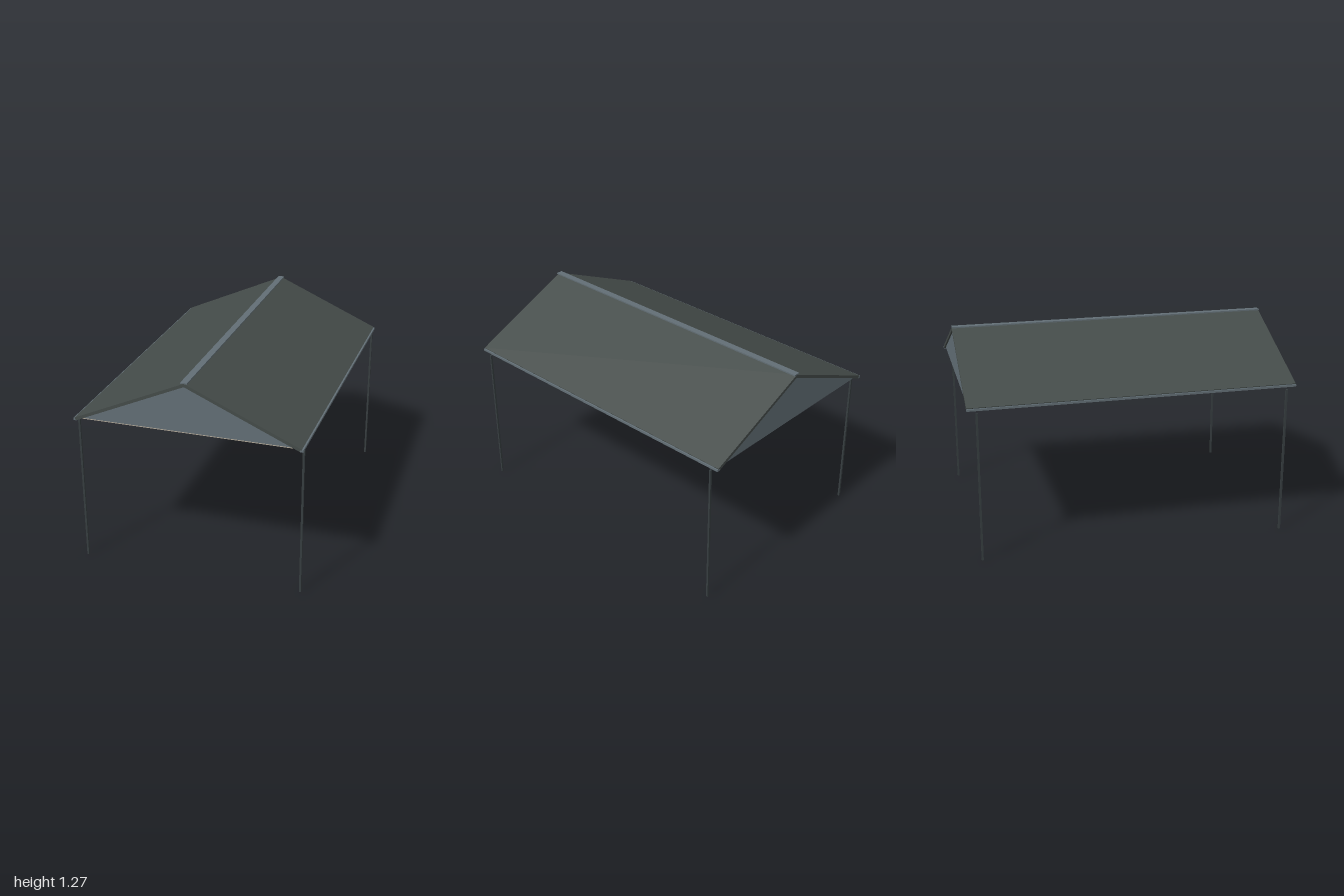
import * as THREE from 'three';

const material = (name, color) => new THREE.MeshStandardMaterial({ name, color });

export function createModel() {
  const roofMat = material('dark roof', 0x444b49);
  const trimMat = material('blue grey trim', 0x626e75);
  const ceilingMat = material('beige ceiling', 0xb0a898);
  const postMat = material('dark post', 0x363d3f);

  const group = new THREE.Group();
  group.name = 'gableCanopy';

  const add = (name, geometry, mat, x = 0, y = 0, z = 0) => {
    const mesh = new THREE.Mesh(geometry, mat);
    mesh.name = name;
    mesh.position.set(x, y, z);
    group.add(mesh);
  };
  const box = (name, w, h, d, mat, x, y, z) =>
    add(name, new THREE.BoxGeometry(w, h, d), mat, x, y, z);
  // Outline in x and y, extruded along z and centred on z = 0
  const prism = (points, depth) => {
    const shape = new THREE.Shape(points.map(([x, y]) => new THREE.Vector2(x, y)));
    const g = new THREE.ExtrudeGeometry(shape, { depth, bevelEnabled: false });
    return g.translate(0, 0, -depth / 2);
  };

  // Pitched roof slabs, ridge cap
  add('roof', prism([
    [0, 1.262], [-0.68, 0.96], [-0.672, 0.943], [0, 1.242], [0.672, 0.943], [0.68, 0.96],
  ], 2), roofMat);
  box('ridgeCap', 0.04, 0.008, 2, trimMat, 0, 1.263, 0);

  // Flat ceiling
  box('ceiling', 1.28, 0.008, 1.95, ceilingMat, 0, 0.951, 0);

  // Triangular gable ends
  for (const z of [-1, 1]) {
    add(z > 0 ? 'frontGable' : 'backGable',
      prism([[-0.635, 0.96], [0.635, 0.96], [0, 1.243]], 0.016), trimMat, 0, 0, z * 0.982);
  }

  // Eave gutters and corner posts
  for (const x of [-1, 1]) {
    const side = x > 0 ? 'left' : 'right';
    box(side + 'Gutter', 0.02, 0.013, 2, trimMat, x * 0.678, 0.9495, 0);
    for (const z of [-1, 1]) {
      box(side + (z > 0 ? 'FrontPost' : 'BackPost'), 0.012, 0.925, 0.012, postMat,
        x * 0.678, 0.4625, z * 0.943);
    }
  }

  return group;
}
